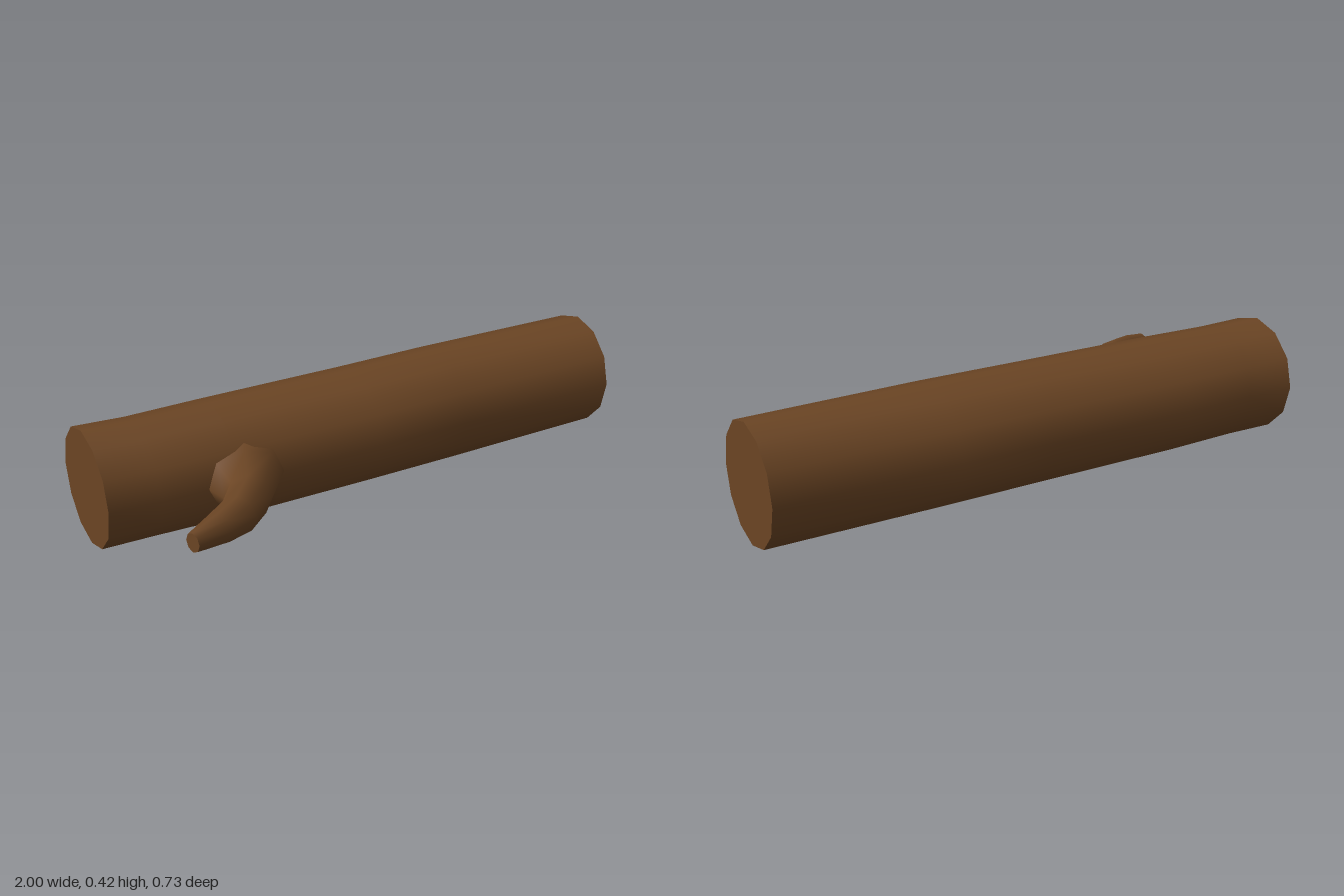
import * as THREE from 'three';

const bark = new THREE.MeshStandardMaterial({ color: 0x6b4524 });
bark.name = 'bark';

// Smooth skin through oval sections, with separate flat end caps.
// Section: [xA, zA, xB, zB, centreY, halfHeight]; A and B are opposite sides of the oval.
function loft(name, sections, sides) {
  const rings = sections.map(([xa, za, xb, zb, cy, h]) => {
    const ring = [];
    for (let j = 0; j < sides; j++) {
      const a = (j / sides) * Math.PI * 2;
      const c = Math.cos(a), s = Math.sin(a);
      ring.push([(xa + xb) / 2 + (s * (xa - xb)) / 2, cy + c * h, (za + zb) / 2 + (s * (za - zb)) / 2]);
    }
    return ring;
  });
  const pos = rings.flat(2);
  const index = [];
  for (let i = 0; i < rings.length - 1; i++) {
    for (let j = 0; j < sides; j++) {
      const k = (j + 1) % sides;
      const a = i * sides + j, b = i * sides + k;
      index.push(a, b, b + sides, a, b + sides, a + sides);
    }
  }
  // caps use their own vertices so the rims stay sharp
  [rings[0], rings[rings.length - 1]].forEach((ring, end) => {
    const base = pos.length / 3;
    pos.push(...ring.flat());
    for (let j = 1; j < sides - 1; j++) {
      if (end) index.push(base, base + j, base + j + 1);
      else index.push(base, base + j + 1, base + j);
    }
  });
  const geo = new THREE.BufferGeometry();
  geo.setAttribute('position', new THREE.Float32BufferAttribute(pos, 3));
  geo.setIndex(index);
  geo.computeVertexNormals();
  const mesh = new THREE.Mesh(geo, bark);
  mesh.name = name;
  return mesh;
}

export function createModel() {
  const group = new THREE.Group();
  group.name = 'log';

  // trunk: [x, front z, back z, centre y, half height]
  const trunk = [
    [-1, 0.045, -0.366, 0.215, 0.208],
    [-0.82, 0.048, -0.36, 0.212, 0.205],
    [-0.55, 0.056, -0.366, 0.211, 0.209],
    [0, 0.055, -0.366, 0.212, 0.21],
    [0.35, 0.05, -0.368, 0.214, 0.212],
    [1, 0.034, -0.365, 0.214, 0.209],
  ].map(([x, front, back, y, h]) => [x, front, x, back, y, h]);
  group.add(loft('trunk', trunk, 12));

  // branch stub, flared at the trunk and bending towards the right end
  group.add(loft('branch', [
    [-0.665, -0.02, -0.33, -0.02, 0.215, 0.125],
    [-0.66, 0.04, -0.385, 0.055, 0.215, 0.106],
    [-0.64, 0.13, -0.5, 0.2, 0.213, 0.08],
    [-0.7, 0.21, -0.6, 0.29, 0.21, 0.069],
    [-0.78, 0.265, -0.7, 0.335, 0.211, 0.055],
    [-0.85, 0.31, -0.83, 0.366, 0.212, 0.034],
  ], 8));

  return group;
}
